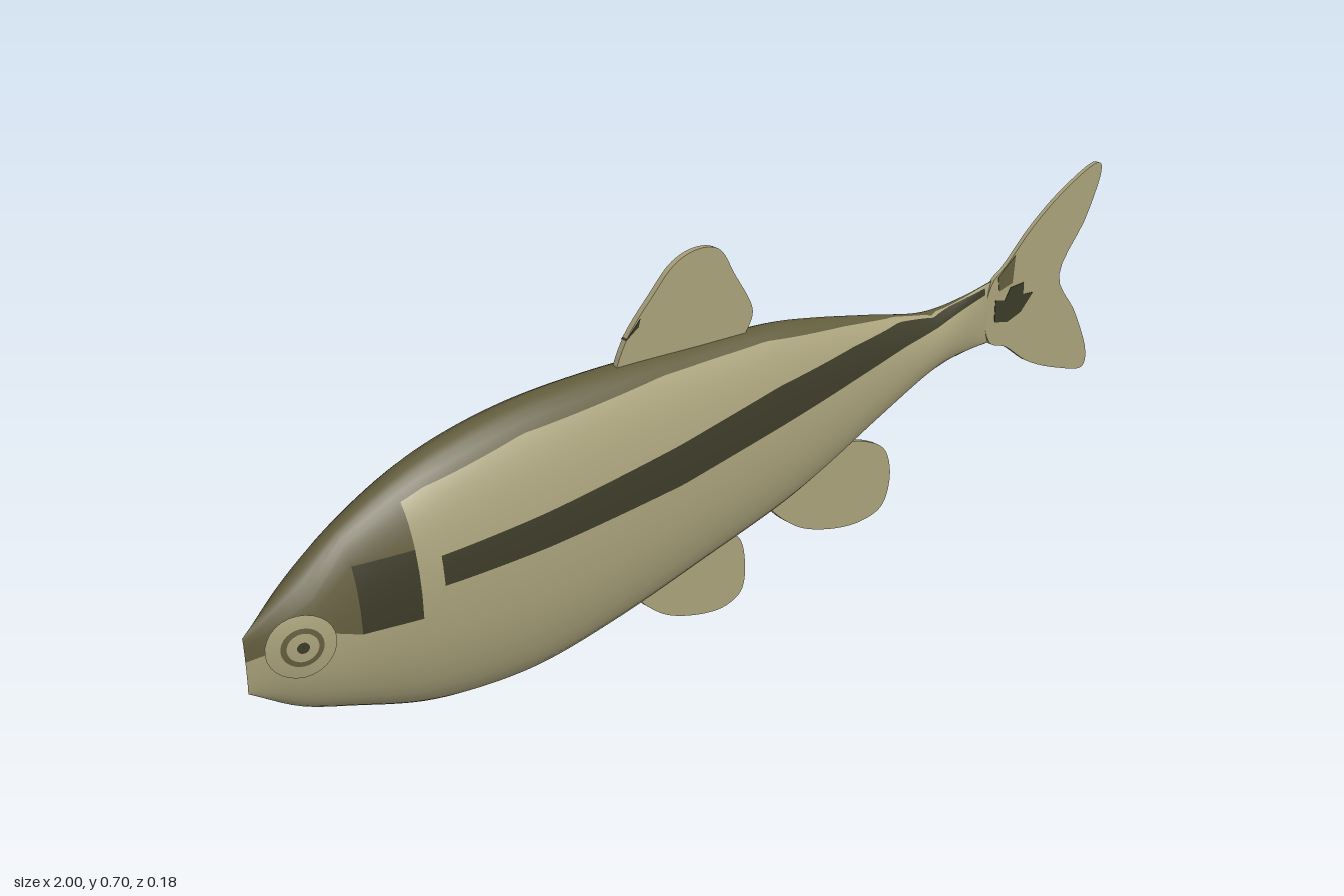
import * as THREE from 'three';

const mat = (name, color) => Object.assign(new THREE.MeshStandardMaterial({ color }), { name });

// Linear lookup in a short table of [x, value...] rows
function lookup(table, x, k) {
  let i = 0;
  while (i < table.length - 2 && x > table[i + 1][0]) i++;
  const a = table[i], b = table[i + 1];
  return THREE.MathUtils.lerp(a[k], b[k], THREE.MathUtils.clamp((x - a[0]) / (b[0] - a[0]), 0, 1));
}

// Body outline: x, bottom, top, half width
const OUTLINE = [
  [-1, 0.28, 0.375, 0.002], [-0.92, 0.222, 0.432, 0.04], [-0.82, 0.175, 0.492, 0.058],
  [-0.7, 0.125, 0.538, 0.078], [-0.6, 0.1, 0.558, 0.087], [-0.47, 0.085, 0.566, 0.092],
  [-0.3, 0.095, 0.556, 0.089], [-0.1, 0.122, 0.53, 0.08], [0.1, 0.152, 0.502, 0.069],
  [0.2, 0.177, 0.477, 0.062], [0.35, 0.225, 0.432, 0.049], [0.5, 0.268, 0.388, 0.036],
  [0.6, 0.27, 0.385, 0.018], [0.69, 0.263, 0.392, 0.003],
];
// Colour borders: x, stripe bottom, stripe top, lower edge of the back
const BORDERS = [
  [-1, 0.335, 0.355, 0.365], [-0.9, 0.36, 0.39, 0.41], [-0.83, 0.33, 0.44, 0.47],
  [-0.73, 0.32, 0.435, 0.505], [-0.69, 0.362, 0.412, 0.515], [-0.5, 0.352, 0.41, 0.535],
  [-0.2, 0.342, 0.412, 0.522], [0.05, 0.352, 0.422, 0.495], [0.25, 0.362, 0.418, 0.452],
  [0.4, 0.368, 0.408, 0.415], [0.5, 0.366, 0.382, 0.385], [0.69, 0.372, 0.384, 0.389],
];
const BANDS = [10, 3, 4, 4]; // rows in belly, stripe, flank, back
const STOPS = [-1, -0.83, -0.73, -0.69, 0.66, 0.69]; // where the pattern changes
const STEPS = [10, 6, 3, 76, 2];
const TAN = 0, OLIVE = 1, DARK = 2;
const PATTERN = [ // one row per stretch, one colour per band
  [TAN, OLIVE, OLIVE, OLIVE], [TAN, DARK, OLIVE, OLIVE], [TAN, TAN, TAN, OLIVE],
  [TAN, DARK, TAN, OLIVE], [TAN, TAN, TAN, OLIVE],
];

// Smooth outline values, sampled through splines
const outlineCurves = [1, 2, 3].map(k =>
  new THREE.CatmullRomCurve3(OUTLINE.map(r => new THREE.Vector3(r[0], r[k], 0)), false, 'centripetal')
    .getPoints(260).map(p => [p.x, p.y]));
function outline(x) {
  return outlineCurves.map(c => lookup(c, x, 1));
}

function halfWidthAt(x, y) {
  const [lo, hi, w] = outline(x);
  const t = (y - (lo + hi) / 2) / ((hi - lo) / 2);
  return w * Math.sqrt(Math.max(0, 1 - t * t));
}

function bodyGeometry() {
  const xs = [STOPS[0]], stretch = [];
  STEPS.forEach((n, s) => {
    for (let i = 1; i <= n; i++) {
      xs.push(THREE.MathUtils.lerp(STOPS[s], STOPS[s + 1], i / n));
      stretch.push(s);
    }
  });
  const rows = BANDS.reduce((a, b) => a + b), ring = rows * 2;
  const pos = [], faces = [[], [], []];
  for (const x of xs) {
    const [lo, hi, w] = outline(x), c = (lo + hi) / 2, h = (hi - lo) / 2;
    const angles = [-Math.PI / 2];
    for (let k = 1; k <= 3; k++) {
      const t = THREE.MathUtils.clamp((lookup(BORDERS, x, k) - c) / h, -0.98, 0.975 + k * 0.005);
      angles.push(Math.asin(t));
    }
    angles.push(Math.PI / 2);
    const side = [];
    BANDS.forEach((n, b) => {
      for (let i = 0; i < n; i++) side.push(THREE.MathUtils.lerp(angles[b], angles[b + 1], i / n));
    });
    side.push(Math.PI / 2);
    for (let j = 0; j < ring; j++) {
      const a = side[j <= rows ? j : ring - j];
      pos.push(x, c + h * Math.sin(a), w * Math.cos(a) * (j <= rows ? 1 : -1));
    }
  }
  const bandOf = [];
  BANDS.forEach((n, b) => { for (let i = 0; i < n; i++) bandOf.push(b); });
  for (let i = 0; i < xs.length - 1; i++) {
    for (let j = 0; j < ring; j++) {
      const band = bandOf[j < rows ? j : ring - 1 - j];
      const a = i * ring + j, b = i * ring + (j + 1) % ring;
      faces[PATTERN[stretch[i]][band]].push(a, a + ring, b + ring, a, b + ring, b);
    }
  }
  const g = new THREE.BufferGeometry();
  g.setAttribute('position', new THREE.Float32BufferAttribute(pos, 3));
  g.setIndex(faces.flat());
  let start = 0;
  faces.forEach((f, m) => { g.addGroup(start, f.length, m); start += f.length; });
  g.computeVertexNormals();
  return g;
}

const toShape = pts => new THREE.Shape(pts.map(p => new THREE.Vector2(...p)));

// Thin fin: smooth closed outline, extruded about z
function finGeometry(pts, z = 0, depth = 0.01) {
  const curve = new THREE.CatmullRomCurve3(pts.map(p => new THREE.Vector3(p[0], p[1], 0)), true, 'centripetal');
  const shape = new THREE.Shape(curve.getPoints(72).slice(0, -1).map(p => new THREE.Vector2(p.x, p.y)));
  return new THREE.ExtrudeGeometry(shape, { depth, bevelEnabled: false }).translate(0, 0, z - depth / 2);
}

// Flat ring or disc that follows the curve of the head
function eyeGeometry(inner, outer, side, lift) {
  const g = new THREE.RingGeometry(inner, outer, 28, 3).translate(-0.925, 0.343, 0);
  const p = g.attributes.position;
  for (let i = 0; i < p.count; i++) p.setZ(i, side * (halfWidthAt(p.getX(i), p.getY(i)) + lift));
  if (side < 0) {
    const ix = g.index.array;
    for (let i = 0; i < ix.length; i += 3) [ix[i], ix[i + 1]] = [ix[i + 1], ix[i]];
  }
  g.computeVertexNormals();
  return g;
}

export function createModel() {
  const fish = new THREE.Group();
  fish.name = 'fish';
  const tan = mat('tan', 0xa8a07a), olive = mat('olive', 0x625c3d), dark = mat('darkOlive', 0x3b3a28);
  const add = (name, geometry, material) => {
    const m = new THREE.Mesh(geometry, material);
    m.name = name;
    fish.add(m);
  };

  add('body', bodyGeometry(), [tan, olive, dark]);

  // Fins
  add('dorsalFin', finGeometry([[-0.27, 0.53], [-0.25, 0.59], [-0.19, 0.65], [-0.14, 0.69], [-0.09, 0.7],
    [-0.04, 0.685], [-0.005, 0.63], [0.038, 0.55], [0.03, 0.525], [0, 0.5], [-0.13, 0.5]], 0.003), tan);
  add('pelvicFin', finGeometry([[-0.24, 0.125], [-0.19, 0.06], [-0.11, 0.018], [-0.03, 0.001], [0.01, 0.016],
    [0.019, 0.07], [0, 0.13], [-0.1, 0.16]], 0.005), tan);
  add('analFin', finGeometry([[0.08, 0.165], [0.14, 0.095], [0.22, 0.052], [0.32, 0.027], [0.38, 0.037],
    [0.4, 0.09], [0.385, 0.15], [0.34, 0.185], [0.26, 0.21], [0.15, 0.19]], 0.005), tan);
  add('tailFin', finGeometry([[0.66, 0.33], [0.68, 0.39], [0.72, 0.412], [0.79, 0.465], [0.88, 0.513], [0.985, 0.543],
    [0.998, 0.53], [0.96, 0.44], [0.885, 0.34], [0.945, 0.24], [0.99, 0.135], [0.982, 0.11],
    [0.9, 0.135], [0.8, 0.185], [0.73, 0.24], [0.68, 0.265]], 0.002, 0.008), tan);

  // Tail patches and dorsal edge mark, on both faces
  const darkPatch = toShape([[0.69, 0.305], [0.69, 0.35], [0.72, 0.34], [0.735, 0.362], [0.775, 0.36],
    [0.775, 0.335], [0.805, 0.33], [0.77, 0.3], [0.73, 0.292]]);
  const olivePatch = toShape([[0.7, 0.365], [0.695, 0.395], [0.72, 0.41], [0.745, 0.425], [0.74, 0.37]]);
  const finMark = toShape([[-0.25, 0.592], [-0.218, 0.62], [-0.222, 0.607]]);
  const plate = (shape, z, depth) =>
    new THREE.ExtrudeGeometry(shape, { depth, bevelEnabled: false }).translate(0, 0, z - depth / 2);
  add('tailSpot', plate(darkPatch, 0.002, 0.0095), dark);
  add('tailShade', plate(olivePatch, 0.002, 0.0095), olive);
  add('dorsalMark', plate(finMark, 0.003, 0.0118), dark);

  // Eyes: pale rim, dark ring, pale iris, small pupil
  for (const side of [1, -1]) {
    const s = side > 0 ? 'left' : 'right';
    add(s + 'EyeRim', eyeGeometry(0.031, 0.051, side, 0.003), tan);
    add(s + 'EyeRing', eyeGeometry(0.023, 0.031, side, 0.003), olive);
    add(s + 'Iris', eyeGeometry(0.009, 0.023, side, 0.003), tan);
    add(s + 'Pupil', eyeGeometry(0.0005, 0.009, side, 0.003), dark);
  }
  return fish;
}
